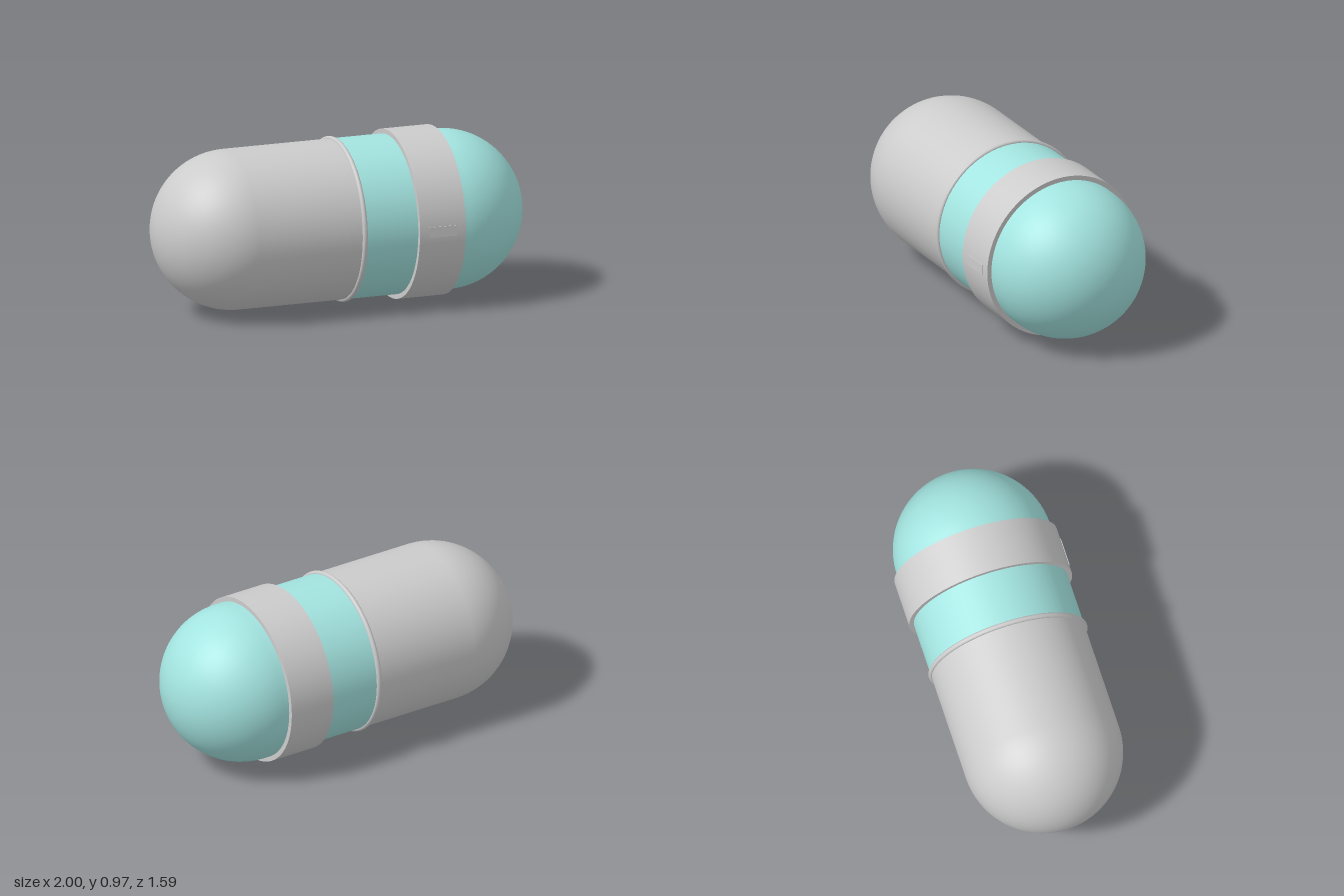
import * as THREE from 'three';

const RADIUS = 0.457;     // capsule radius
const REACH = 0.641;      // middle to the centre of each domed end
const ANGLE = 0.559;      // turn of the long axis about y

const grey = new THREE.MeshStandardMaterial({ color: 0xcccccc });
const teal = new THREE.MeshStandardMaterial({ color: 0xa3e4e0 });

function part(name, geometry, material) {
  const mesh = new THREE.Mesh(geometry, material);
  mesh.name = name;
  return mesh;
}

// Half capsule along +y (side 1) or -y (side -1), starting at the middle seam
function halfShell(side) {
  const points = [new THREE.Vector2(RADIUS, 0)];
  const steps = 24;
  for (let i = 0; i <= steps; i++) {
    const a = (i / steps) * Math.PI / 2;
    const r = i === steps ? 0 : RADIUS * Math.cos(a);
    points.push(new THREE.Vector2(r, side * (REACH + RADIUS * Math.sin(a))));
  }
  if (side < 0) points.reverse(); // keep faces outward
  return new THREE.LatheGeometry(points, 72);
}

export function createModel() {
  const model = new THREE.Group();
  model.name = 'capsule';

  // Round parts share the local y axis, laid down along x
  const body = new THREE.Group();
  body.name = 'body';
  body.rotation.z = -Math.PI / 2;
  body.add(part('greyHalf', halfShell(-1), grey));
  body.add(part('tealHalf', halfShell(1), teal));

  // Thin bead over the seam
  const seam = part('seamRing', new THREE.TorusGeometry(RADIUS, 0.015, 12, 96), grey);
  seam.rotation.x = Math.PI / 2;
  body.add(seam);

  // Wide band around the teal half
  const band = part('band', new THREE.CylinderGeometry(0.484, 0.484, 0.278, 96), grey);
  band.position.y = 0.461;
  body.add(band);

  // Small raised button on the front of the band
  const button = part('button', new THREE.BoxGeometry(0.165, 0.06, 0.02), grey);
  button.position.set(0.461, 0, 0.477);

  const axis = new THREE.Group();
  axis.name = 'turnedCapsule';
  axis.position.y = 0.484;
  axis.rotation.y = ANGLE;
  axis.add(body, button);
  model.add(axis);
  return model;
}
